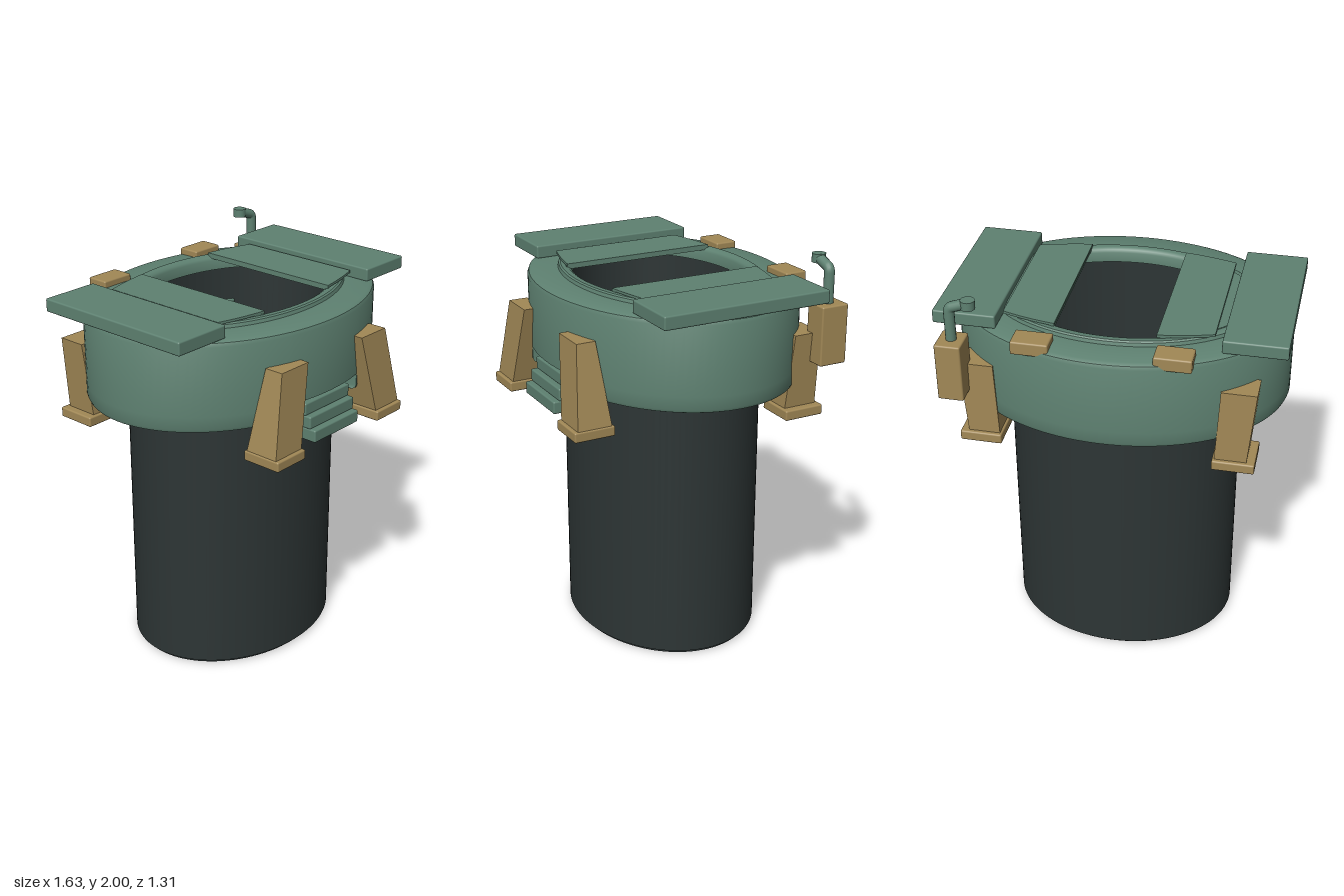
import * as THREE from 'three';
import { toCreasedNormals } from 'three/addons/utils/BufferGeometryUtils.js';
import { RoundedBoxGeometry } from 'three/addons/geometries/RoundedBoxGeometry.js';

const CZ = -0.043; // centre of the oval body in z
const NOTCH = 0.243; // half width of the step recess

const makeMaterial = (name, color) => {
  const m = new THREE.MeshStandardMaterial({ color });
  m.name = name;
  return m;
};

// Skin through oval sections [y, rx, rz, notched]; notched sections are cut flat at the front
function ovalLoft(sections) {
  const angles = [];
  for (let i = 0; i <= 96; i++) angles.push(-Math.PI + (i / 96) * Math.PI * 2);
  const edge = Math.asin(NOTCH / 0.8);
  for (const s of [-1, 1]) angles.push(s * (edge - 0.0005), s * (edge + 0.0005));
  angles.sort((a, b) => a - b);
  const pos = [], index = [], n = angles.length;
  for (const [y, rx, rz, notched] of sections) {
    for (const t of angles) {
      let z = rz * Math.cos(t) + CZ;
      if (notched && Math.abs(t) < edge) z = Math.min(z, 0.47);
      pos.push(rx * Math.sin(t), y, z);
    }
  }
  for (let s = 0; s < sections.length - 1; s++) {
    for (let i = 0; i < n - 1; i++) {
      const a = s * n + i, d = a + n;
      index.push(a, a + 1, d + 1, a, d + 1, d);
    }
  }
  const g = new THREE.BufferGeometry();
  g.setAttribute('position', new THREE.Float32BufferAttribute(pos, 3));
  g.setIndex(index);
  return toCreasedNormals(g, 0.6);
}

// Box whose bottom and top are separate rectangles [x, z, width, depth]
function taperedBox(y0, y1, bottom, top) {
  const g = new THREE.BoxGeometry(1, 1, 1);
  const p = g.attributes.position;
  for (let i = 0; i < p.count; i++) {
    const up = p.getY(i) > 0;
    const [cx, cz, w, d] = up ? top : bottom;
    p.setXYZ(i, cx + p.getX(i) * w, up ? y1 : y0, cz + p.getZ(i) * d);
  }
  g.computeVertexNormals();
  return g;
}

// Plate between x0 and x1 with ends that follow an oval
function ovalPlate(x0, x1, rx, rz, y0, y1) {
  const pts = [], n = 12;
  const half = (x) => rz * Math.sqrt(Math.max(0, 1 - (x / rx) ** 2));
  for (let i = 0; i <= n; i++) {
    const x = x0 + ((x1 - x0) * i) / n;
    pts.push(new THREE.Vector2(x, -half(x)));
  }
  for (let i = n; i >= 0; i--) {
    const x = x0 + ((x1 - x0) * i) / n;
    pts.push(new THREE.Vector2(x, half(x)));
  }
  const g = new THREE.ExtrudeGeometry(new THREE.Shape(pts), { depth: y1 - y0, bevelEnabled: false });
  g.rotateX(-Math.PI / 2);
  g.translate(0, y0, CZ);
  return g;
}

export function createModel() {
  const model = new THREE.Group();
  model.name = 'siloHatch';
  const green = makeMaterial('green paint', 0x5e8171);
  const tan = makeMaterial('tan paint', 0xa18856);
  const dark = makeMaterial('dark metal', 0x2d3535);

  const add = (name, geometry, material) => {
    const m = new THREE.Mesh(geometry, material);
    m.name = name;
    model.add(m);
    return m;
  };
  // Box given by its limits, with softened edges
  const block = (name, x0, x1, y0, y1, z0, z1, material, r = 0.008) => {
    const g = new RoundedBoxGeometry(x1 - x0, y1 - y0, z1 - z0, 2, r);
    g.translate((x0 + x1) / 2, (y0 + y1) / 2, (z0 + z1) / 2);
    return add(name, g, material);
  };

  // Hollow shaft with a floor
  add('shaft', ovalLoft([
    [0, 0.001, 0.001], [0, 0.553, 0.443], [0.015, 0.555, 0.445], [0.018, 0.57, 0.46],
    [1.78, 0.57, 0.46], [1.78, 0.55, 0.437], [0.03, 0.55, 0.437], [0.03, 0.001, 0.001],
  ]), dark);

  // Collar with recess, rounded shoulder and raised lip
  add('collar', ovalLoft([
    [1.38, 0.56, 0.45], [1.38, 0.78, 0.595, true], [1.386, 0.794, 0.609, true],
    [1.4, 0.8, 0.615, true], [1.46, 0.8, 0.615, true], [1.46, 0.8, 0.615],
    [1.795, 0.8, 0.615], [1.812, 0.793, 0.608], [1.822, 0.775, 0.59],
    [1.824, 0.655, 0.462], [1.84, 0.65, 0.457], [1.846, 0.64, 0.449],
    [1.846, 0.59, 0.425], [1.838, 0.57, 0.412], [1.825, 0.56, 0.405],
    [1.775, 0.56, 0.405], [1.775, 0.565, 0.455], [1.38, 0.56, 0.45],
  ]), green);

  // Outer slabs and the sliding doors beside the opening
  for (const [side, s, inner] of [['left', 1, 0.25], ['right', -1, 0.22]]) {
    const span = (a, b) => [Math.min(s * a, s * b), Math.max(s * a, s * b)];
    block(side + 'Slab', ...span(0.517, 0.813), 1.82, 1.885, -0.47, 0.383, green);
    add(side + 'DoorBase', ovalPlate(...span(inner + 0.002, 0.59), 0.61, 0.43, 1.835, 1.85), green);
    add(side + 'Door', ovalPlate(...span(inner, inner + 0.255), 0.85, 0.41, 1.85, 1.862), green);
  }

  for (const [side, s] of [['left', 1], ['right', -1]]) {
    // Front and back legs with foot pads
    add(side + 'FrontLeg', taperedBox(1.27, 1.67,
      [s * 0.378, 0.55, 0.18, 0.175], [s * 0.293, 0.55, 0.185, 0.095]), tan);
    block(side + 'FrontFoot', s * 0.375 - 0.098, s * 0.375 + 0.098, 1.23, 1.28, 0.45, 0.655, tan);
    add(side + 'BackLeg', taperedBox(1.27, 1.645,
      [s * 0.585, -0.435, 0.15, 0.17], [s * 0.61, -0.445, 0.165, 0.14]), tan);
    block(side + 'BackFoot', s * 0.6 - 0.1, s * 0.6 + 0.1, 1.23, 1.28, -0.54, -0.335, tan);
    // Blocks on the back of the collar and fittings on the inner wall
    block(side + 'BackBlock', s * 0.322 - 0.087, s * 0.322 + 0.087, 1.79, 1.855, -0.617, -0.503, tan);
    block(side + 'InnerBracket', s * 0.33 - 0.045, s * 0.33 + 0.045, 1.53, 1.6, -0.43, -0.36, green);
    block(side + 'InnerLamp', s * 0.33 - 0.025, s * 0.33 + 0.025, 1.54, 1.58, -0.38, -0.353, tan, 0.004);
  }

  // Steps descending outward from the recess
  for (let i = 0; i < 3; i++) {
    const top = 1.44 - i * 0.06;
    block('step' + (i + 1), -0.165, 0.165, top - 0.062, top, 0.43, 0.56 + i * 0.03, green);
  }

  // Periscope box, bent pipe and head
  block('periscopeBox', 0.645, 0.767, 1.5, 1.787, -0.61, -0.468, tan);
  const bend = new THREE.CurvePath();
  const v = (x, y) => new THREE.Vector3(x, y, -0.537);
  bend.add(new THREE.LineCurve3(v(0.705, 1.78), v(0.705, 1.93)));
  bend.add(new THREE.QuadraticBezierCurve3(v(0.705, 1.93), v(0.705, 1.952), v(0.685, 1.957)));
  bend.add(new THREE.LineCurve3(v(0.685, 1.957), v(0.625, 1.978)));
  add('periscopePipe', new THREE.TubeGeometry(bend, 30, 0.025, 16, false), green);
  const head = add('periscopeHead', new THREE.CylinderGeometry(0.033, 0.033, 0.042, 24), green);
  head.position.set(0.613, 1.979, -0.54);
  return model;
}
